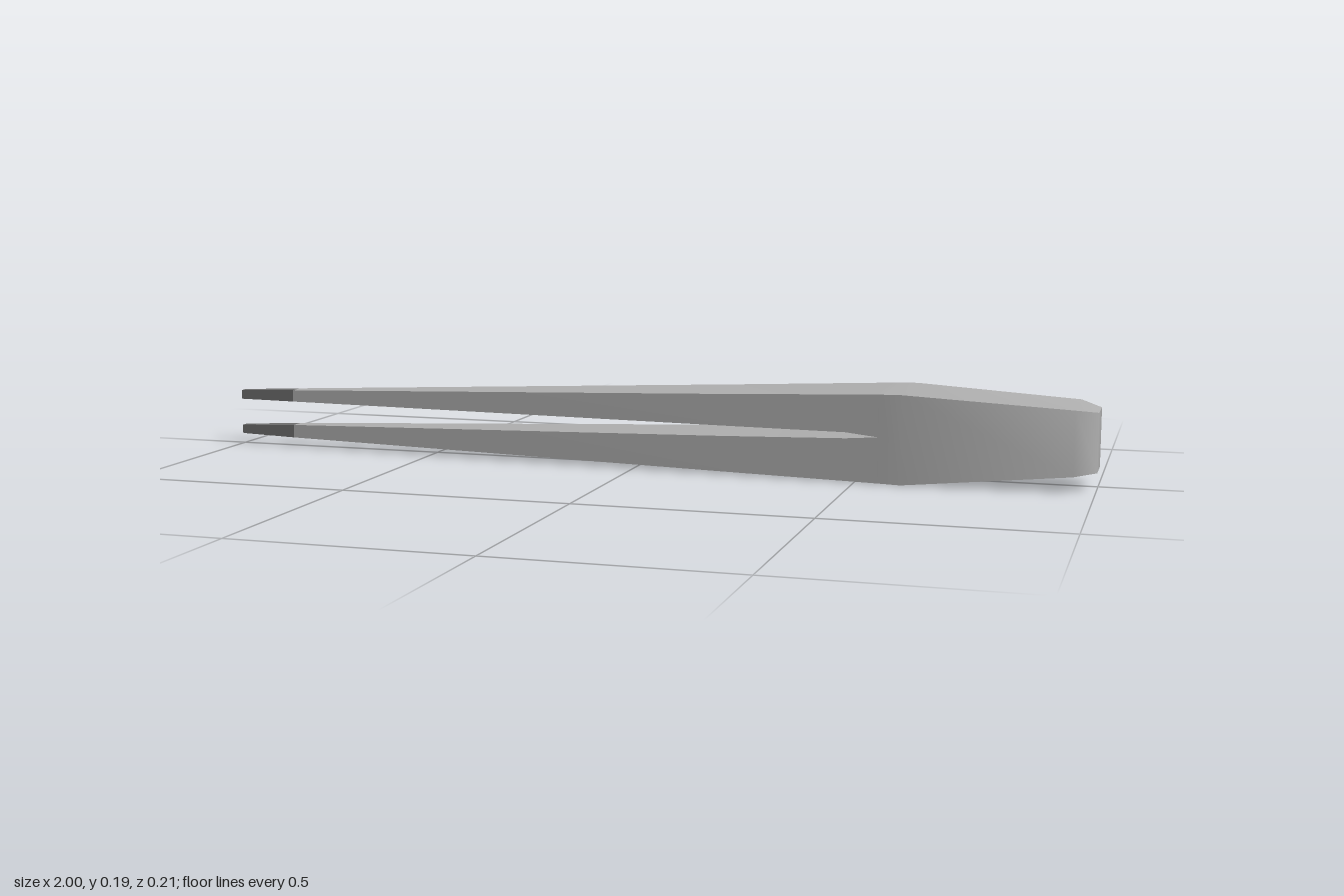
import * as THREE from 'three';
import { toCreasedNormals } from 'three/addons/utils/BufferGeometryUtils.js';

const steel = new THREE.MeshStandardMaterial({ name: 'brushed steel', color: 0xb0b0b0 });
const grip = new THREE.MeshStandardMaterial({ name: 'dark tip', color: 0x6e6e6e });

// Outline stations along the tool: x, half width, bottom y, top y
const outline = [
  [-1, 0.009, 0.024, 0.128], [-0.86, 0.018, 0.021, 0.134], [0.2, 0.084, 0.006, 0.176],
  [0.48, 0.099, 0.002, 0.188], [0.55, 0.103, 0.001, 0.191], [0.6, 0.106, 0, 0.192],
  [0.955, 0.088, 0.033, 0.172], [1, 0.043, 0.036, 0.163],
];
// Inner edges of the slot at the first five stations: lower arm top, upper arm bottom
const slot = [[0.044, 0.107], [0.051, 0.107], [0.084, 0.107], [0.094, 0.107], [0.1, 0.1]];

const upperArm = outline.slice(0, 5).map(([x, w, , top], i) => [x, w, slot[i][1], top]);
const lowerArm = outline.slice(0, 5).map(([x, w, bottom], i) => [x, w, bottom, slot[i][0]]);

// Skin rectangular cross-sections, optionally closing either end
function loft(name, sections, material, capStart, capEnd) {
  const points = [], index = [];
  const quad = (a, b, c, d) => index.push(a, b, c, a, c, d);
  sections.forEach(([x, w, bottom, top], i) => {
    points.push(x, bottom, w, x, bottom, -w, x, top, -w, x, top, w);
    if (i === 0) return;
    const a = (i - 1) * 4, b = i * 4;
    for (let k = 0; k < 4; k++) {
      const n = (k + 1) % 4;
      quad(a + k, a + n, b + n, b + k);
    }
  });
  if (capStart) quad(3, 2, 1, 0);
  const e = (sections.length - 1) * 4;
  if (capEnd) quad(e, e + 1, e + 2, e + 3);
  const geometry = new THREE.BufferGeometry();
  geometry.setAttribute('position', new THREE.Float32BufferAttribute(points, 3));
  geometry.setIndex(index);
  const mesh = new THREE.Mesh(toCreasedNormals(geometry, 0.95), material);
  mesh.name = name;
  return mesh;
}

export function createModel() {
  const group = new THREE.Group();
  group.name = 'tweezers';
  // Solid handle with a bevelled end
  group.add(loft('handle', outline.slice(4), steel, false, true));
  // Two tapering arms with dark tips
  for (const [side, arm] of [['upper', upperArm], ['lower', lowerArm]]) {
    group.add(loft(side + 'Arm', arm.slice(1), steel, false, false));
    group.add(loft(side + 'Tip', arm.slice(0, 2), grip, true, false));
  }
  return group;
}
